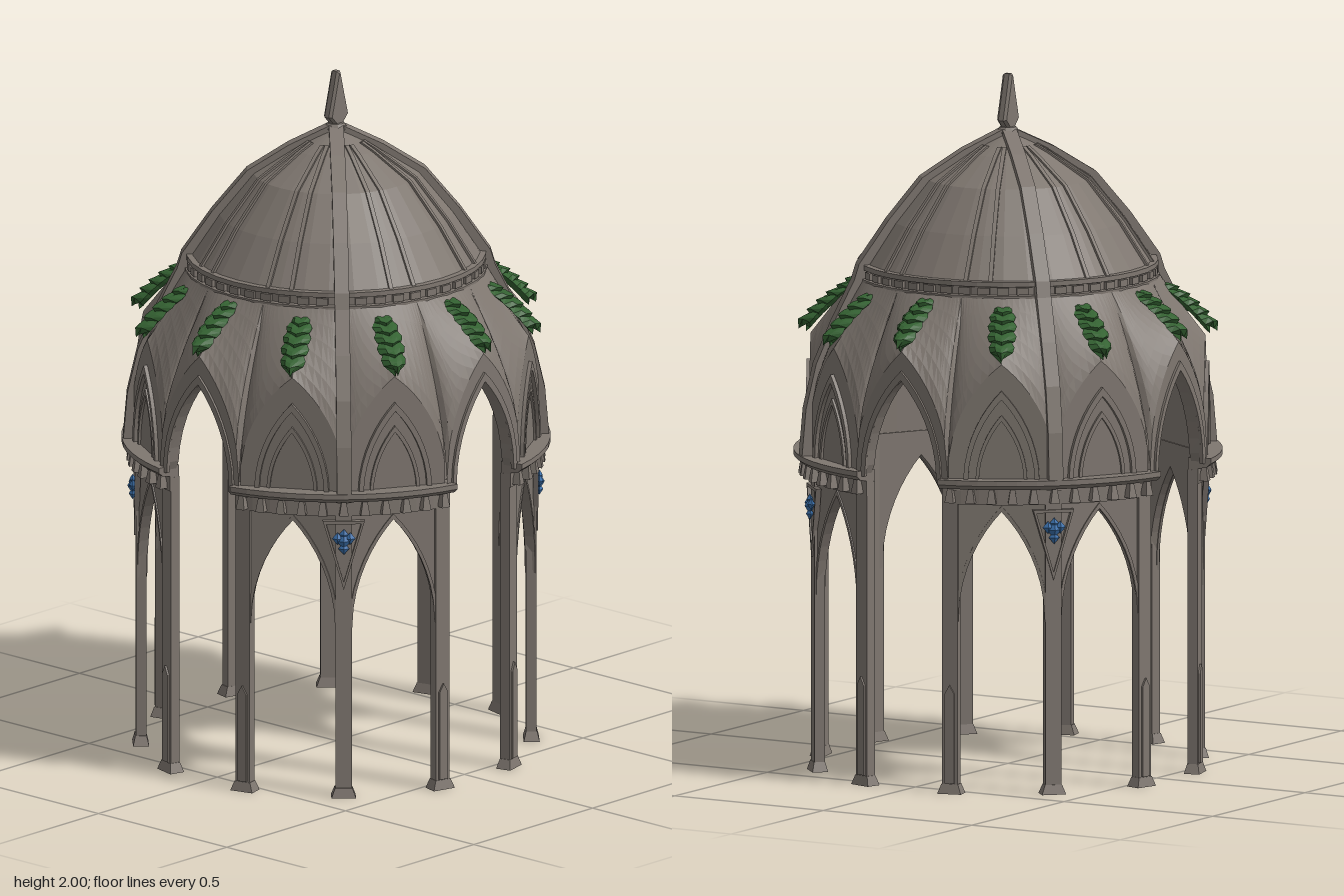
import * as THREE from 'three';

const DEG = Math.PI / 180;

// Height of a pointed arch (half span w, rise h) above its spring line at x
function lancet(x, w, h) {
  x = Math.abs(x);
  if (x >= w) return 0;
  const R = (w * w + h * h) / (2 * w);
  return Math.sqrt(Math.max(0, R * R - (x + R - w) ** 2));
}

// Points of a pointed arch from left to right
function archPoints(w, h, y0, n = 16) {
  const pts = [];
  for (let i = 0; i <= n; i++) {
    const s = (i / n) * 2 - 1;
    const x = w * Math.sign(s) * (1 - (1 - Math.abs(s)) ** 1.6);
    pts.push(new THREE.Vector2(x, y0 + lancet(x, w, h)));
  }
  return pts;
}

const toShape = pts => new THREE.Shape(pts.map(p => new THREE.Vector2(...p)));

function extrude(shape, depth, z) {
  return new THREE.ExtrudeGeometry(shape, { depth, bevelEnabled: false }).translate(0, 0, z);
}

// Flat moulding that follows a pointed arch
function archFrame(w, h, y0, t, depth, z) {
  const outer = archPoints(w, h, y0);
  const inner = archPoints(w - t, h - t * 1.8, y0).reverse();
  return extrude(new THREE.Shape([...outer, ...inner]), depth, z);
}

// Rib swept in the radial plane along [r, y] points
function ribGeometry(path, width, depth) {
  const back = path.map(([r, y]) => [Math.max(0, r - depth), y - depth * 0.4]).reverse();
  return extrude(toShape([...path, ...back]), width, -width / 2).rotateY(-Math.PI / 2);
}

// Surface through rows of points
function gridGeometry(rows) {
  const pos = rows.flat(2), idx = [], n = rows[0].length;
  for (let i = 0; i < rows.length - 1; i++)
    for (let j = 0; j < n - 1; j++) {
      const a = i * n + j, b = a + n;
      idx.push(a, b, a + 1, b, b + 1, a + 1);
    }
  const g = new THREE.BufferGeometry();
  g.setAttribute('position', new THREE.Float32BufferAttribute(pos, 3));
  g.setIndex(idx);
  g.computeVertexNormals();
  return g;
}

// One 30 degree bay of the upper wall: flat below, folding in to the dome ring
function bayGeometry(door) {
  const half = [0, 0.12, 0.25, 0.4, 0.55, 0.67, 0.75, 0.785, 0.86, 0.93, 1];
  const us = [...half.slice(1).reverse().map(u => -u), ...half];
  const plane = door ? 0.575 : 0.565, rise = door ? 0.34 : 0.315;
  const rows = us.map(u => {
    const th = u * 15 * DEG, rw = plane / Math.cos(th), x = rw * Math.sin(th);
    const y0 = door ? 0.9 + lancet(x, 0.121, 0.29) : 0.88;
    const yb = 0.93 + lancet(x, 0.154, rise);
    const outer = [];
    for (let i = 0; i < 3; i++) outer.push([rw, y0 + (yb - y0) * i / 3]);
    for (let i = 0; i <= 6; i++) {
      const t = i / 6;
      outer.push([0.43 + (rw - 0.43) * (1 - t ** (1 + 0.5 * Math.abs(u))), yb + (1.42 - yb) * t]);
    }
    // inner face, joined to the outer face along the arch
    const inner = outer.map(([r, y]) => [r - 0.035, y]).reverse();
    return [...inner, ...outer].map(([r, y]) => [r * Math.sin(th), y, r * Math.cos(th)]);
  });
  return gridGeometry(rows);
}

// Spray of overlapping chevron leaves: a ridged body with stepped edges
function leafGeometry() {
  const widths = [0.032, 0.038, 0.042, 0.042, 0.037], rows = [];
  const section = (s, w, h) => {
    const z = s - 0.115, lift = 0.012 * Math.sin(Math.PI * Math.min(1, s / 0.2));
    return [[-w, lift, z - 0.012], [-w * 0.5, h * 0.75 + lift, z], [0, h + lift, z + 0.012], [w * 0.5, h * 0.75 + lift, z],
      [w, lift, z - 0.012], [0, lift - 0.016, z], [-w, lift, z - 0.012]];
  };
  rows.push(section(0.01, 0.004, 0.003));
  widths.forEach((w, i) => {
    const s = 0.014 + i * 0.037;
    rows.push(section(s, w * 0.76, 0.012), section(s + 0.018, w, 0.02), section(s + 0.036, w * 0.88, 0.026));
  });
  rows.push(section(0.214, 0.003, 0.003));
  return gridGeometry(rows);
}

export function createModel() {
  const stone = new THREE.MeshStandardMaterial({ color: 0x7f7770, flatShading: true, side: THREE.DoubleSide });
  const leaf = new THREE.MeshStandardMaterial({ color: 0x346232, flatShading: true, side: THREE.DoubleSide });
  const blue = new THREE.MeshStandardMaterial({ color: 0x3b70ab, flatShading: true });
  stone.name = 'stone'; leaf.name = 'leafGreen'; blue.name = 'blueGem';

  const model = new THREE.Group();
  model.name = 'gardenPavilion';
  const add = (name, geo, mat, deg = 0, parent = model) => {
    const m = new THREE.Mesh(geo, mat);
    m.name = name;
    m.rotation.y = deg * DEG;
    parent.add(m);
    return m;
  };
  const lathe = (pts, seg, start = 0, len = 360) =>
    new THREE.LatheGeometry(pts.map(p => new THREE.Vector2(...p)), seg, start * DEG, len * DEG);

  // Columns
  const shaft = new THREE.BoxGeometry(0.046, 0.88, 0.03).translate(0, 0.44, 0.558);
  const base = new THREE.CylinderGeometry(0.035, 0.05, 0.028, 4).rotateY(45 * DEG).scale(1, 1, 0.65)
    .translate(0, 0.014, 0.559);
  const panel = extrude(toShape([[-0.014, 0.03], [0.014, 0.03], [0.014, 0.29], [0, 0.315], [-0.014, 0.29]]), 0.007, 0.572);
  for (let k = 0; k < 12; k++) {
    const a = 15 + 30 * k;
    add('columnShaft', shaft, stone, a);
    add('columnBase', base, stone, a);
    if (k % 3 !== 1) add('columnPanel', panel, stone, a);
  }

  // Bays: four tall doorways and eight low arches with blind arches above
  const doorBay = bayGeometry(true), wallBay = bayGeometry(false);
  const spandrel = extrude(new THREE.Shape([
    new THREE.Vector2(-0.1445, 0.89), new THREE.Vector2(-0.1445, 0.5), ...archPoints(0.127, 0.32, 0.5),
    new THREE.Vector2(0.1445, 0.5), new THREE.Vector2(0.1445, 0.89)]), 0.026, 0.526);
  const doorFrame = archFrame(0.136, 0.315, 0.9, 0.015, 0.012, 0.57);
  const lowFrame = archFrame(0.133, 0.334, 0.5, 0.009, 0.008, 0.548);
  const blindOuter = archFrame(0.11, 0.27, 0.9, 0.014, 0.014, 0.562);
  const blindInner = archFrame(0.075, 0.2, 0.9, 0.01, 0.01, 0.562);
  for (let k = 0; k < 12; k++) {
    const a = 30 * k, door = k % 3 === 0;
    add('upperWall', door ? doorBay : wallBay, stone, a);
    if (door) {
      add('doorArchMoulding', doorFrame, stone, a);
    } else {
      add('archSpandrel', spandrel, stone, a);
      add('archMoulding', lowFrame, stone, a);
      add('blindArch', blindOuter, stone, a);
      add('blindArchInner', blindInner, stone, a);
    }
  }

  // Cornices over the four column groups, with small pendants
  const corniceProfile = [[0.545, 0.84], [0.576, 0.84], [0.576, 0.884],
    [0.6, 0.888], [0.614, 0.9], [0.614, 0.915], [0.545, 0.915], [0.545, 0.84]];
  const cap = extrude(toShape(corniceProfile.slice(0, -1)), 0.006, -0.003).rotateY(-Math.PI / 2);
  const pendant = new THREE.CylinderGeometry(0.009, 0.019, 0.044, 4).rotateY(45 * DEG).translate(0, 0.868, 0.586);
  const triangle = s => [[-0.06 * s, 0.77 + 0.055 * s], [0, 0.77 - 0.15 * s], [0.06 * s, 0.77 + 0.055 * s]];
  const plaqueShape = toShape(triangle(1));
  plaqueShape.holes.push(toShape(triangle(0.84)));
  const plaque = extrude(plaqueShape, 0.016, 0.562);
  const mainRib = ribGeometry([[0.61, 0.91], [0.598, 1.05], [0.568, 1.18], [0.516, 1.3], [0.456, 1.42], [0.442, 1.465],
    [0.355, 1.59], [0.255, 1.71], [0.135, 1.785], [0.02, 1.84]], 0.042, 0.05);
  for (let q = 0; q < 4; q++) {
    const a = 45 + 90 * q;
    add('cornice', lathe(corniceProfile, 12, a - 32, 64), stone);
    for (const s of [-32, 32]) add('corniceEnd', cap, stone, a + s);
    for (let i = -5; i <= 5; i++) add('cornicePendant', pendant, stone, a + i * 5.9);
    add('mainRib', mainRib, stone, a);
    add('gemFrame', plaque, stone, a);
    // Flower-like gem
    const gem = new THREE.Group();
    gem.name = 'gem';
    gem.rotation.y = a * DEG;
    for (const [x, y, r] of [[0, 0.768, 0.022], [-0.018, 0.775, 0.016], [0.018, 0.775, 0.016], [0, 0.787, 0.014], [0, 0.745, 0.016]])
      add('gemPetal', new THREE.OctahedronGeometry(r).scale(1, 1.15, 0.7).translate(x, y, 0.582), blue, 0, gem);
    model.add(gem);
  }

  // Ring under the dome
  add('domeRing', lathe([[0.39, 1.408], [0.434, 1.408], [0.434, 1.422], [0.422, 1.424], [0.422, 1.446],
    [0.43, 1.448], [0.43, 1.462], [0.4, 1.464]], 36), stone);
  const block = new THREE.BoxGeometry(0.034, 0.02, 0.012).translate(0, 1.435, 0.424);
  for (let i = 0; i < 48; i++) add('ringBlock', block, stone, i * 7.5);

  // Dome with fine ribs
  const domeProfile = [[0.418, 1.455], [0.335, 1.58], [0.237, 1.7], [0.12, 1.775], [0.004, 1.835]];
  add('dome', lathe(domeProfile, 36), stone);
  const fine = [...domeProfile.slice(0, 4), [0.08, 1.796]].map(([r, y]) => [r + 0.005, y + 0.003]);
  const fineRib = ribGeometry(fine, 0.012, 0.015);
  for (let q = 0; q < 4; q++)
    for (const s of [-25, -15, 15, 25]) add('fineRib', fineRib, stone, q * 90 + s);

  // Finial: small collar and a flat bud
  add('finialCollar', lathe([[0, 1.81], [0.026, 1.818], [0.034, 1.83], [0.024, 1.845], [0, 1.85]], 10), stone);
  const bud = toShape([[-0.01, 1.842], [0.01, 1.842], [0.034, 1.868], [0.03, 1.885], [0.016, 1.94], [0.003, 1.994],
    [-0.003, 1.994], [-0.016, 1.94], [-0.03, 1.885], [-0.034, 1.868]]);
  add('finialBud', new THREE.ExtrudeGeometry(bud, {
    depth: 0.016, bevelThickness: 0.008, bevelSize: 0.006, bevelOffset: -0.001, bevelSegments: 1
  }).translate(0, 0, -0.008), stone);

  // Leaf sprays lying on the ridge of each bay, a little lower between the doorways
  const leafGeo = leafGeometry();
  for (let k = 0; k < 12; k++) {
    const door = k % 3 === 0;
    const spray = new THREE.Group();
    spray.name = 'leafSpray';
    spray.rotation.y = 30 * k * DEG;
    const body = add('leafBody', leafGeo, leaf, 0, spray);
    body.position.set(0, door ? 1.341 : 1.324, 0.511);
    body.rotation.x = (door ? 35 : 39) * DEG;
    model.add(spray);
  }
  return model;
}
